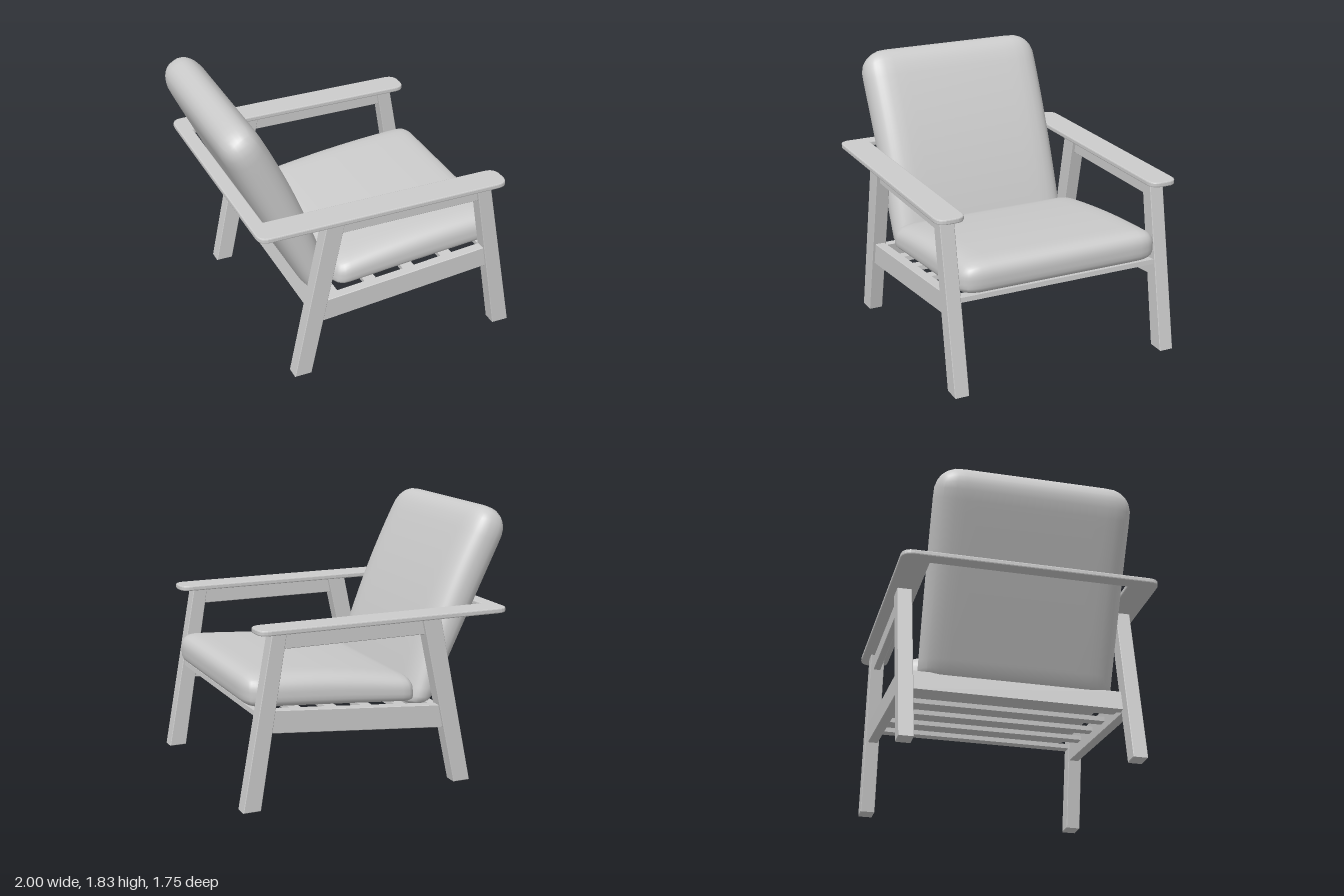
import * as THREE from 'three';
import { mergeVertices } from 'three/addons/utils/BufferGeometryUtils.js';

const material = new THREE.MeshStandardMaterial({ color: 0xcccccc });

function add(group, name, geometry) {
  const mesh = new THREE.Mesh(geometry, material);
  mesh.name = name;
  group.add(mesh);
  return mesh;
}

// Board with a side outline in x/y, spanning z0 to z1
function board(points, z0, z1) {
  const b = 0.004;
  const shape = new THREE.Shape(points.map(([x, y]) => new THREE.Vector2(x, y)));
  const geometry = new THREE.ExtrudeGeometry(shape, {
    depth: z1 - z0 - 2 * b, bevelEnabled: true, bevelSegments: 1,
    bevelSize: b, bevelOffset: -b, bevelThickness: b,
  });
  return geometry.translate(0, 0, z0 + b);
}

// Pillow: a cube with elliptical edges, laid between two bowed side lines.
// Each line is [x0, y0, x1, y1, bow]; radii are [negative, positive] per axis,
// as fractions of the half size.
function cushion(lower, upper, halfWidth, taper, radii) {
  let geometry = new THREE.BoxGeometry(2, 2, 2, 20, 12, 20);
  geometry.deleteAttribute('normal');
  geometry.deleteAttribute('uv');
  geometry = mergeVertices(geometry);
  const p = geometry.attributes.position;
  const onLine = ([x0, y0, x1, y1, bow], t) => {
    const b = (4 * t * (1 - t) * bow) / Math.hypot(x1 - x0, y1 - y0);
    return [x0 + (x1 - x0) * t - (y1 - y0) * b, y0 + (y1 - y0) * t + (x1 - x0) * b];
  };
  for (let i = 0; i < p.count; i++) {
    const v = [p.getX(i), p.getY(i), p.getZ(i)].map((c) => Math.sin((c * Math.PI) / 2));
    const r = v.map((c, k) => radii[k][c < 0 ? 0 : 1]);
    const inner = v.map((c, k) => THREE.MathUtils.clamp(c, r[k] - 1, 1 - r[k]));
    const d = v.map((c, k) => (c - inner[k]) / r[k]);
    const length = Math.hypot(...d);
    const [a, s, w] = inner.map((c, k) => c + (d[k] / length) * r[k]);
    const t = (a + 1) / 2;
    const [lx, ly] = onLine(lower, t);
    const [ux, uy] = onLine(upper, t);
    const m = (s + 1) / 2;
    p.setXYZ(i, lx + (ux - lx) * m, ly + (uy - ly) * m, w * halfWidth * (1 + taper * a));
  }
  geometry.computeVertexNormals();
  return geometry;
}

// U-shaped armrest running round the back
function armrestGeometry() {
  const s = new THREE.Shape();
  s.moveTo(-0.785, -0.675);
  s.lineTo(0.815, -0.675);
  s.quadraticCurveTo(0.895, -0.675, 0.895, -0.755);
  s.lineTo(0.895, -0.795);
  s.quadraticCurveTo(0.895, -0.875, 0.815, -0.875);
  s.lineTo(-0.805, -0.875);
  s.quadraticCurveTo(-0.885, -0.875, -0.885, -0.795);
  s.lineTo(-0.885, 0.795);
  s.quadraticCurveTo(-0.885, 0.875, -0.805, 0.875);
  s.lineTo(0.815, 0.875);
  s.quadraticCurveTo(0.895, 0.875, 0.895, 0.795);
  s.lineTo(0.895, 0.755);
  s.quadraticCurveTo(0.895, 0.675, 0.815, 0.675);
  s.lineTo(-0.785, 0.675);
  const geometry = new THREE.ExtrudeGeometry(s, {
    depth: 0.019, curveSegments: 6, bevelEnabled: true, bevelSegments: 2,
    bevelSize: 0.008, bevelOffset: -0.008, bevelThickness: 0.008,
  });
  return geometry.rotateX(Math.PI / 2).translate(0, 1.182, 0);
}

export function createModel() {
  const chair = new THREE.Group();
  chair.name = 'armchair';

  // Side frames
  const frontLeg = [[0.88, 0], [1, 0], [0.79, 1.16], [0.69, 1.16]];
  const backLeg = [[-0.64, 0], [-0.52, 0], [-0.27, 1.16], [-0.4, 1.16]];
  const seatRail = [[-0.45, 0.39], [0.83, 0.505], [0.81, 0.655], [-0.42, 0.55]];
  const armRail = [[-0.32, 1.045], [0.73, 1.045], [0.72, 1.158], [-0.3, 1.158]];
  for (const side of [1, -1]) {
    const place = (name, points, z0, z1) =>
      add(chair, name, board(points, side > 0 ? z0 : -z1, side > 0 ? z1 : -z0));
    place('frontLeg', frontLeg, 0.72, 0.82);
    place('backLeg', backLeg, 0.72, 0.82);
    place('seatRail', seatRail, 0.73, 0.8);
    place('armRail', armRail, 0.745, 0.795);
  }
  add(chair, 'armrest', armrestGeometry());

  // Back rail and the slats under the seat
  add(chair, 'backRail', board([[-0.47, 0.4], [-0.41, 0.4], [-0.38, 0.54], [-0.44, 0.54]], -0.74, 0.74));
  for (let i = 0; i < 5; i++) {
    const slat = add(chair, 'seatSlat', new THREE.BoxGeometry(0.085, 0.033, 1.48));
    slat.position.set(0.83 - 0.28 * i, 0.614 - 0.0375 * i, 0);
    slat.rotation.z = 0.09;
  }

  // Cushions
  add(chair, 'seatCushion', cushion(
    [-0.3, 0.55, 0.925, 0.645, 0], [-0.29, 0.73, 0.94, 0.865, 0.027],
    0.725, 0, [[0.15, 0.18], [0.5, 0.95], [0.2, 0.2]]));
  add(chair, 'backCushion', cushion(
    [-0.25, 0.5, -0.82, 1.88, -0.05], [-0.44, 0.5, -1.05, 1.74, 0.005],
    0.67, 0.012, [[0.1, 0.23], [0.95, 0.85], [0.25, 0.25]]));
  return chair;
}
